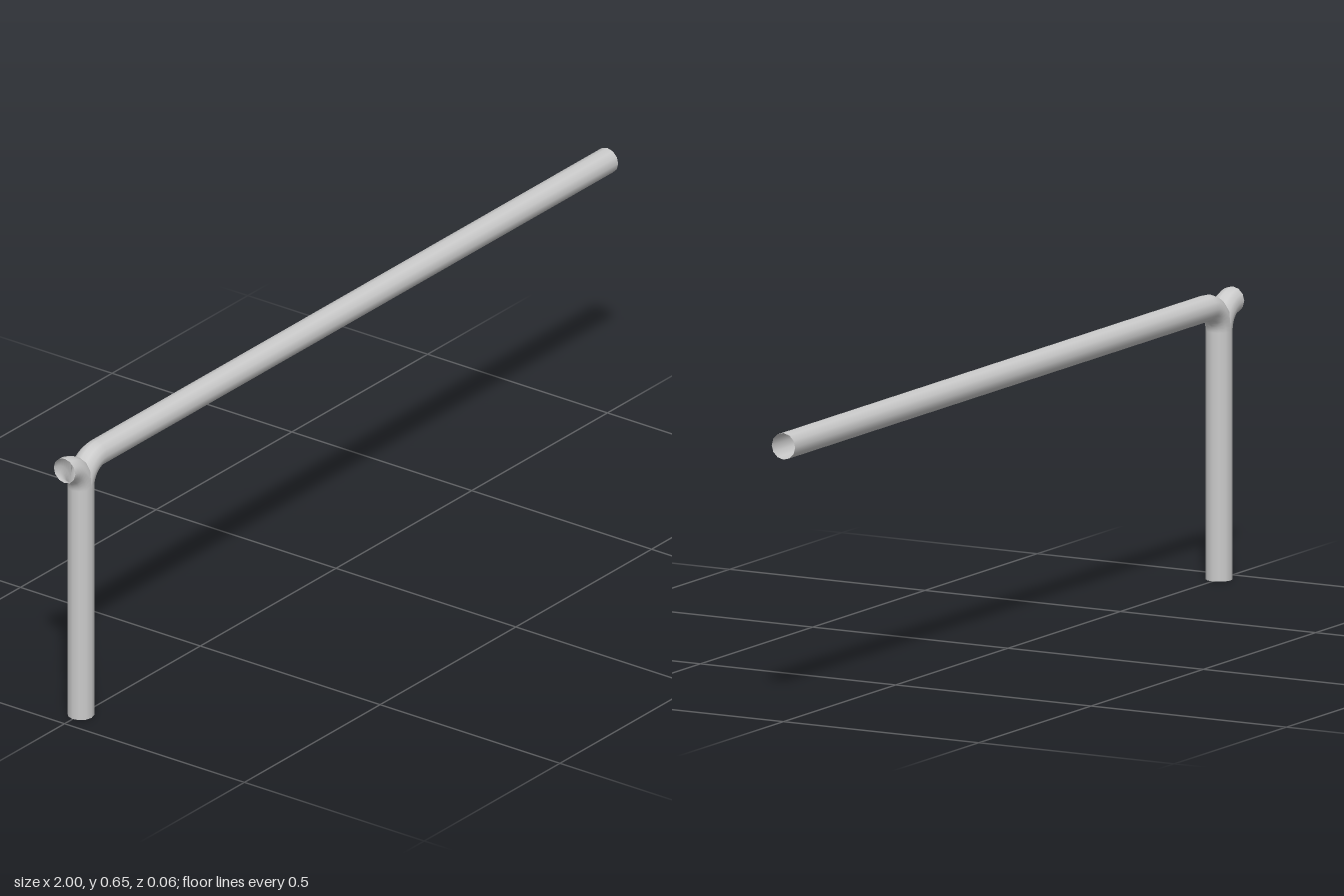
import * as THREE from 'three';

const SIDES = 12, BEND_STEPS = 8;
const RADIUS = 0.03, BEND = 0.06;
const POST_X = -0.94, POST_TOP = 0.562;

// Bent pipe leaving the post sideways, trimmed at the post's middle plane
// so both arms open into one another. dir is +1 or -1 along x.
function armGeometry(dir, endX) {
  const position = [], normal = [], index = [];
  const straight = Math.abs(endX - (POST_X + dir * BEND)) > 0.001;
  const rows = BEND_STEPS + (straight ? 2 : 1);
  for (let i = 0; i < rows; i++) {
    for (let j = 0; j < SIDES; j++) {
      const a = (j / SIDES) * Math.PI * 2;
      const rho = BEND + RADIUS * Math.cos(a);
      // the outer half of the bend starts where it meets the middle plane
      const start = Math.acos(Math.min(1, BEND / rho));
      const t = THREE.MathUtils.lerp(start, Math.PI / 2, Math.min(1, i / BEND_STEPS));
      const x = i > BEND_STEPS ? endX : POST_X + dir * (BEND - rho * Math.cos(t));
      position.push(x, POST_TOP + rho * Math.sin(t), RADIUS * Math.sin(a));
      normal.push(-dir * Math.cos(t) * Math.cos(a), Math.sin(t) * Math.cos(a), Math.sin(a));
      if (i === rows - 1) continue;
      const p = i * SIDES + j, q = i * SIDES + (j + 1) % SIDES;
      const r = p + SIDES, s = q + SIDES;
      if (dir > 0) index.push(p, q, r, q, s, r);
      else index.push(p, r, q, q, r, s);
    }
  }
  const geometry = new THREE.BufferGeometry();
  geometry.setAttribute('position', new THREE.Float32BufferAttribute(position, 3));
  geometry.setAttribute('normal', new THREE.Float32BufferAttribute(normal, 3));
  geometry.setIndex(index);
  return geometry;
}

export function createModel() {
  const group = new THREE.Group();
  group.name = 'pipeJunction';
  const material = new THREE.MeshStandardMaterial({ color: 0xcccccc, side: THREE.DoubleSide });
  const add = (name, geometry) => {
    const mesh = new THREE.Mesh(geometry, material);
    mesh.name = name;
    group.add(mesh);
  };

  // Open upright pipe
  add('post', new THREE.CylinderGeometry(RADIUS, RADIUS, POST_TOP, SIDES, 1, true)
    .translate(POST_X, POST_TOP / 2, 0));

  // Long and short arms branching from the top of the post
  add('longArm', armGeometry(1, 1));
  add('shortArm', armGeometry(-1, -1));
  return group;
}
